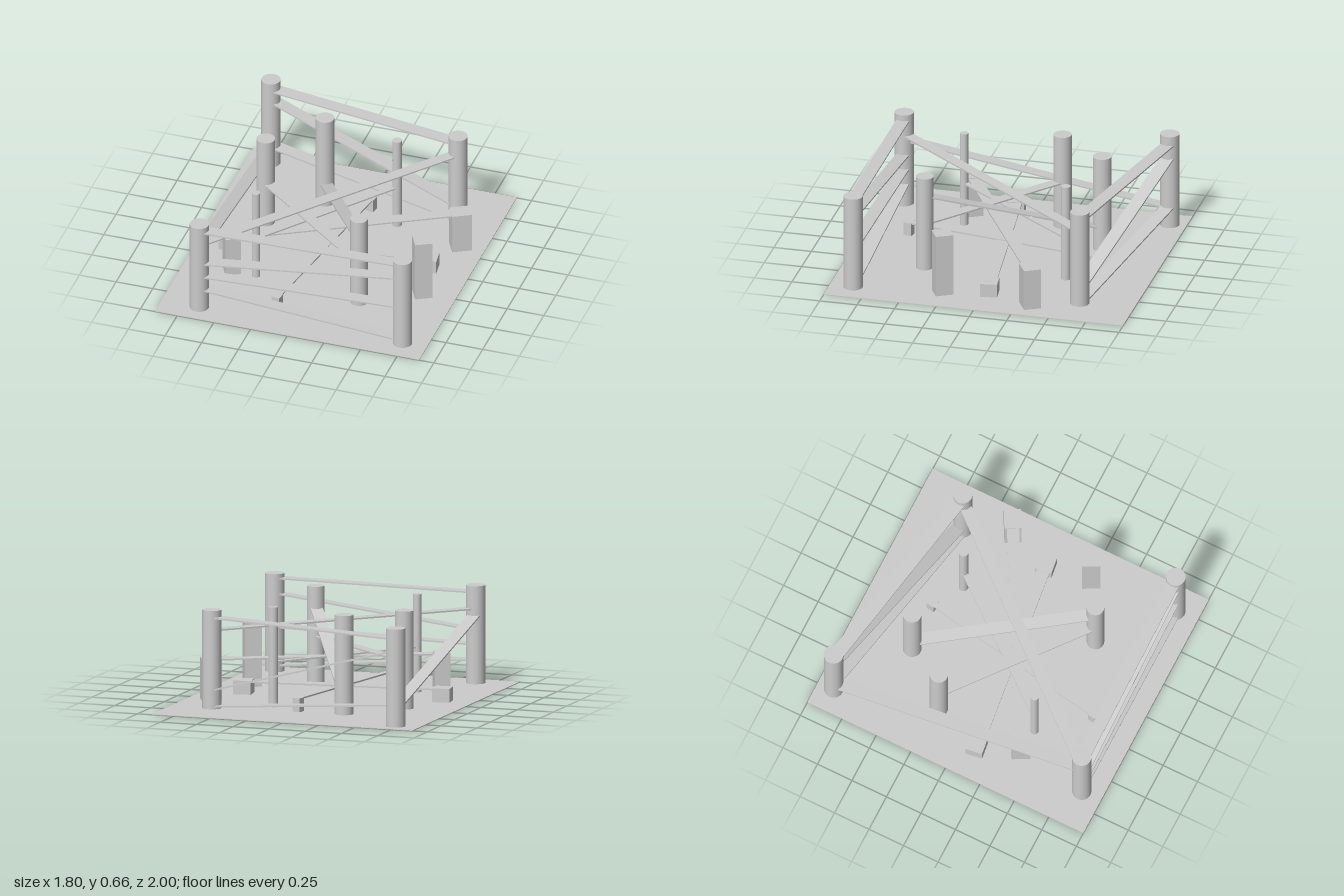
import * as THREE from 'three';

const material = new THREE.MeshStandardMaterial({ color: 0xcccccc });

export function createModel() {
  const group = new THREE.Group();

  const add = (geometry, name) => {
    const mesh = new THREE.Mesh(geometry, material);
    mesh.name = name;
    group.add(mesh);
    return mesh;
  };

  // Ground slab
  add(new THREE.BoxGeometry(1.8, 0.005, 2), 'ground').position.y = 0.0025;

  // Upright posts: x, z, radius, top
  const posts = {
    backRight: [-0.74, -0.89, 0.063, 0.648],
    backLeft: [0.62, -0.64, 0.062, 0.65],
    frontRight: [-0.645, 0.86, 0.063, 0.648],
    frontLeft: [0.735, 0.845, 0.063, 0.648],
    innerBack: [-0.262, -0.562, 0.061, 0.656],
    innerFront: [0.315, 0.475, 0.057, 0.648],
    innerRight: [-0.553, -0.222, 0.06, 0.648],
    thinBack: [0.265, -0.455, 0.031, 0.659],
    thinFront: [-0.412, 0.4, 0.027, 0.648],
  };
  for (const [name, [x, z, r, top]] of Object.entries(posts)) {
    add(new THREE.CylinderGeometry(r, r, top - 0.004, 32), name + 'Post')
      .position.set(x, (top + 0.004) / 2, z);
  }

  // Square blocks: x, z, width, depth, height, turn about y
  const blocks = {
    tallLeft: [0.675, 0.262, 0.112, 0.118, 0.425, 0.49],
    mediumLeft: [0.737, -0.338, 0.13, 0.112, 0.28, 0.5],
    mediumRight: [-0.583, 0.387, 0.1, 0.12, 0.28, 0.5],
    lowLeft: [0.622, -0.038, 0.116, 0.112, 0.095, 0.13],
    lowRight: [-0.69, 0.122, 0.116, 0.112, 0.095, 0.13],
    smallFront: [-0.165, 0.705, 0.055, 0.055, 0.095, -0.17],
    smallBack: [0.05, -0.572, 0.055, 0.055, 0.095, -0.17],
  };
  for (const [name, [x, z, w, d, h, turn]] of Object.entries(blocks)) {
    const block = add(new THREE.BoxGeometry(w, h - 0.004, d), name + 'Block');
    block.position.set(x, (h + 0.004) / 2, z);
    block.rotation.y = turn;
  }

  // Flat plank between two supports, its width kept level
  const plank = (name, from, y0, to, y1, width, thickness = 0.01) => {
    const a = new THREE.Vector3(from[0], y0, from[1]);
    const b = new THREE.Vector3(to[0], y1, to[1]);
    const mesh = add(new THREE.BoxGeometry(width, thickness, a.distanceTo(b)), name);
    mesh.position.copy(a).add(b).multiplyScalar(0.5);
    mesh.lookAt(b);
  };

  // Outer rails: heights at each end
  const { backRight, backLeft, frontRight, frontLeft } = posts;
  for (const [y0, y1] of [[0.602, 0.618], [0.355, 0.52], [0.26, 0.297], [0.162, 0.043]]) {
    plank('frontRail', frontRight, y0, frontLeft, y1, 0.085);
  }
  for (const [y0, y1] of [[0.58, 0.602], [0.5, 0.12], [0.145, 0.018]]) {
    plank('backRail', backRight, y0, backLeft, y1, 0.09);
  }
  plank('sideRail', backRight, 0.13, frontRight, 0.46, 0.085);
  plank('diagonalRail', frontRight, 0.495, backLeft, 0.517, 0.075);

  // Inner rails and braces
  plank('innerBrace', posts.innerBack, 0.155, posts.innerFront, 0.515, 0.08);
  plank('innerRail', posts.innerRight, 0.32, posts.innerFront, 0.32, 0.075);
  plank('thinRail', posts.thinFront, 0.298, posts.thinBack, 0.298, 0.035);

  // Beams resting between matching blocks
  plank('mediumBeam', blocks.mediumRight, 0.27, blocks.mediumLeft, 0.27, 0.08);
  plank('lowBeam', blocks.lowRight, 0.085, blocks.lowLeft, 0.085, 0.085);
  plank('smallBeam', blocks.smallFront, 0.09, blocks.smallBack, 0.09, 0.042);

  return group;
}
